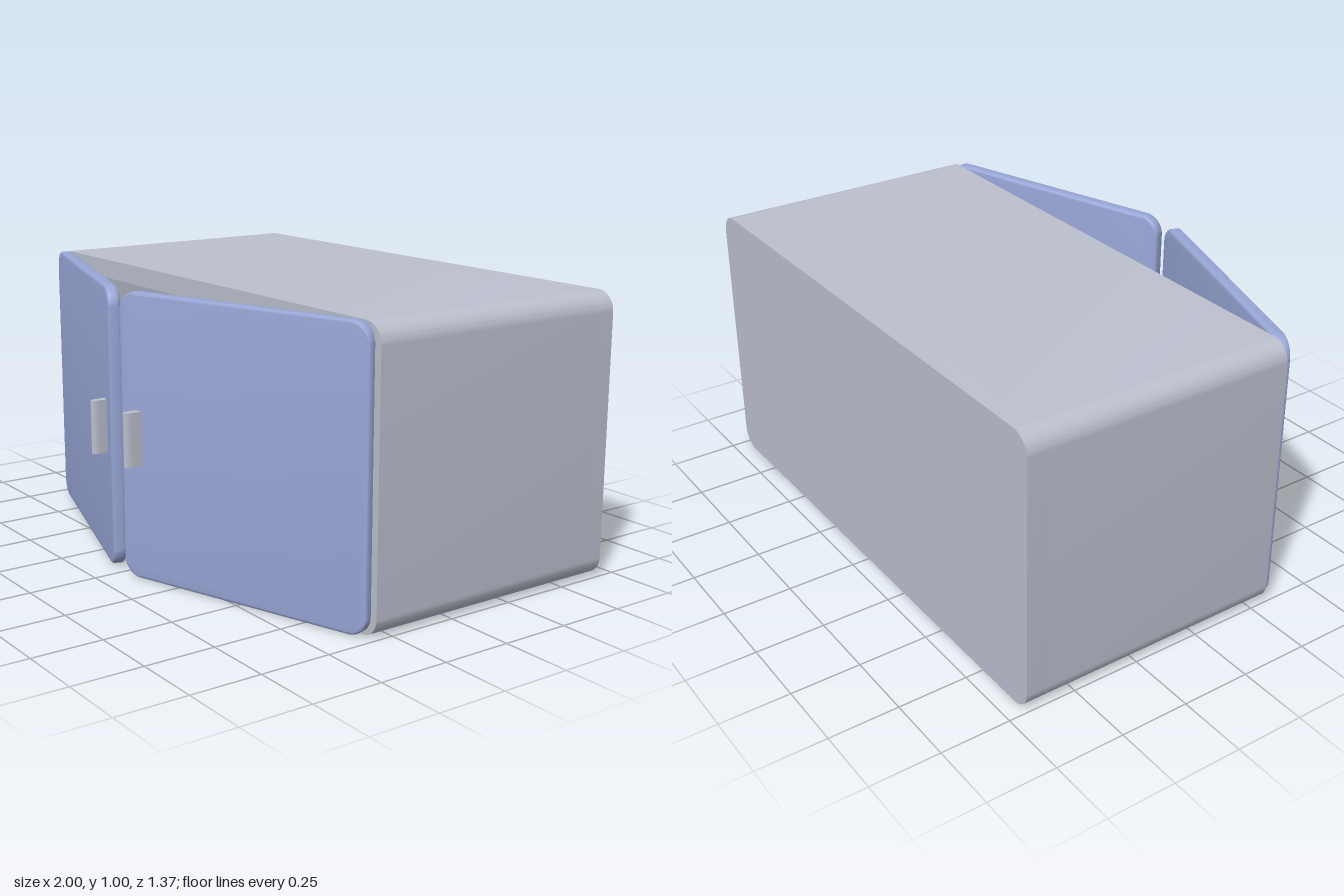
import * as THREE from 'three';
import { toCreasedNormals } from 'three/addons/utils/BufferGeometryUtils.js';

// Rounded rectangle outline from (x0, y0) to (x1, y1)
function roundedRect(target, x0, y0, x1, y1, r) {
  target.moveTo(x0 + r, y0);
  target.lineTo(x1 - r, y0);
  target.absarc(x1 - r, y0 + r, r, -Math.PI / 2, 0);
  target.lineTo(x1, y1 - r);
  target.absarc(x1 - r, y1 - r, r, 0, Math.PI / 2);
  target.lineTo(x0 + r, y1);
  target.absarc(x0 + r, y1 - r, r, Math.PI / 2, Math.PI);
  target.lineTo(x0, y0 + r);
  target.absarc(x0 + r, y0 + r, r, Math.PI, Math.PI * 1.5);
  return target;
}

function extrude(shape, depth, options = {}) {
  const geometry = new THREE.ExtrudeGeometry(shape, { depth, curveSegments: 8, bevelEnabled: false, ...options });
  return toCreasedNormals(geometry, 0.6);
}

export function createModel() {
  const model = new THREE.Group();
  model.name = 'wallCabinet';

  const grey = new THREE.MeshStandardMaterial({ color: 0xbcc0ce });
  grey.name = 'cabinetGrey';
  const blue = new THREE.MeshStandardMaterial({ color: 0x98a6d6 });
  blue.name = 'doorBlue';

  const add = (name, geometry, material, x = 0, y = 0, z = 0) => {
    const mesh = new THREE.Mesh(geometry, material);
    mesh.name = name;
    mesh.position.set(x, y, z);
    model.add(mesh);
    return mesh;
  };

  const back = -0.685, front = 0.315, wall = 0.07;

  // Open-fronted shell
  const shell = roundedRect(new THREE.Shape(), -1, 0, 1, 1, 0.07);
  shell.holes.push(roundedRect(new THREE.Path(), -1 + wall, 0.08, 1 - wall, 0.93, 0.01));
  add('cabinetShell', extrude(shell, front - back - wall), grey, 0, 0, back + wall);

  // Closed back
  add('backPanel', extrude(roundedRect(new THREE.Shape(), -1, 0, 1, 1, 0.07), wall), grey, 0, 0, back);

  // Middle shelf
  add('shelf', new THREE.BoxGeometry(2 - 2 * wall, 0.055, front - back - wall), grey,
    0, 0.54, (front + back + wall) / 2);

  // Doors, ajar on the outer edges, and their upright handles
  const bevel = 0.01;
  const swing = 0.316;
  const handleProfile = new THREE.Shape();
  handleProfile.moveTo(-0.014, 0);
  handleProfile.lineTo(0.014, 0);
  handleProfile.lineTo(0.014, 0.035);
  handleProfile.absellipse(0, 0.035, 0.014, 0.03, 0, Math.PI);
  handleProfile.lineTo(-0.014, 0);

  for (const side of [-1, 1]) {
    const label = side < 0 ? 'right' : 'left';
    const inner = side < 0 ? 1 : 0;
    const outline = roundedRect(new THREE.Shape(),
      inner - 1 + bevel, bevel, inner - bevel, 1 - bevel, 0.06);
    const slab = extrude(outline, 0.045 - 2 * bevel,
      { bevelEnabled: true, bevelSize: bevel, bevelThickness: bevel, bevelSegments: 3 });
    slab.translate(0, 0, bevel);
    const door = add(label + 'Door', slab, blue, side * 0.971 - 0.005, 0.002, 0.297);
    door.rotation.y = side * swing;

    const handle = extrude(handleProfile, 0.19);
    handle.rotateX(Math.PI / 2);
    add(label + 'Handle', handle, grey, side * 0.111 - 0.005, 0.6, 0.62);
  }

  return model;
}
